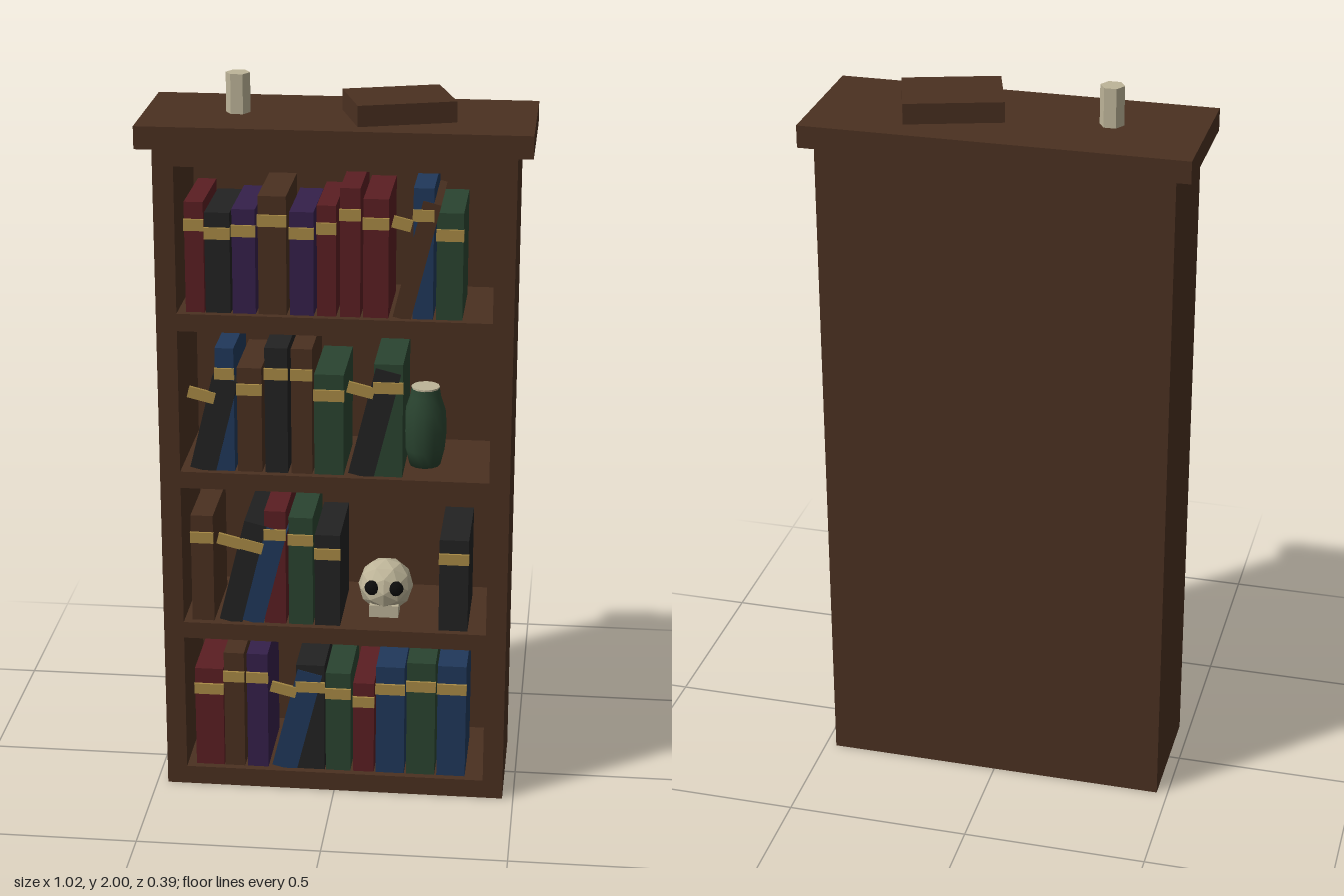
import * as THREE from 'three';

const material = (name, color, extra = {}) => {
  const m = new THREE.MeshStandardMaterial({ color, ...extra });
  m.name = name;
  return m;
};

export function createModel() {
  const model = new THREE.Group();
  model.name = 'bookcase';

  const wood = material('brown wood', 0x4a3020);
  const red = material('red leather', 0x5a1e22);
  const black = material('black leather', 0x222222);
  const purple = material('purple leather', 0x35204a);
  const green = material('green', 0x2a4430);
  const blue = material('blue leather', 0x20385a);
  const gold = material('gold', 0xa88a45);
  const bone = material('bone', 0xbdb498, { flatShading: true });
  const dark = material('socket black', 0x0c0c0c);

  const add = (name, geometry, mat, x = 0, y = 0, z = 0, parent = model) => {
    const mesh = new THREE.Mesh(geometry, mat);
    mesh.name = name;
    mesh.position.set(x, y, z);
    parent.add(mesh);
    return mesh;
  };
  const box = (w, h, d) => new THREE.BoxGeometry(w, h, d);

  // Case: a frame pierced by four compartments, closed by a back panel
  const floors = [0.053, 0.497, 0.941, 1.386];
  const rect = (target, x, y0, y1) => {
    target.moveTo(-x, y0);
    target.lineTo(x, y0);
    target.lineTo(x, y1);
    target.lineTo(-x, y1);
    target.closePath();
    return target;
  };
  const frame = rect(new THREE.Shape(), 0.47, 0, 1.835);
  for (const y of floors) frame.holes.push(rect(new THREE.Path(), 0.415, y, y + 0.397));
  add('caseFrame', new THREE.ExtrudeGeometry(frame, { depth: 0.32, bevelEnabled: false }), wood, 0, 0, -0.16);
  add('backPanel', box(0.94, 1.835, 0.02), wood, 0, 0.9175, -0.17);
  add('topSlab', box(1.02, 0.06, 0.39), wood, 0, 1.865, 0);

  // Books per shelf, bottom to top: centre x, width, height, cover, lean
  const L = 0.24;
  const shelves = [
    [[-0.351, 0.079, 0.296, red], [-0.281, 0.056, 0.347, wood], [-0.216, 0.058, 0.347, purple],
      [-0.142, 0.07, 0.307, blue, L], [-0.068, 0.079, 0.32, black], [0.009, 0.069, 0.299, green],
      [0.08, 0.058, 0.272, red], [0.154, 0.079, 0.325, blue], [0.239, 0.079, 0.341, green],
      [0.324, 0.079, 0.336, blue]],
    [[-0.363, 0.061, 0.31, wood], [-0.287, 0.063, 0.302, black, L], [-0.226, 0.058, 0.286, blue, L],
      [-0.163, 0.058, 0.331, red], [-0.093, 0.066, 0.315, green], [-0.02, 0.069, 0.267, black],
      [0.324, 0.079, 0.267, black]],
    [[-0.356, 0.07, 0.27, black, L], [-0.294, 0.05, 0.347, blue], [-0.228, 0.066, 0.294, wood],
      [-0.156, 0.061, 0.352, black], [-0.088, 0.056, 0.352, wood], [-0.015, 0.079, 0.283, green],
      [0.07, 0.069, 0.307, black, L], [0.143, 0.077, 0.317, green]],
    [[-0.368, 0.05, 0.299, red], [-0.307, 0.066, 0.272, black], [-0.238, 0.061, 0.283, purple],
      [-0.163, 0.074, 0.32, wood], [-0.086, 0.063, 0.28, purple], [-0.021, 0.05, 0.299, red],
      [0.041, 0.053, 0.347, red], [0.108, 0.066, 0.32, red], [0.176, 0.048, 0.323, wood, L],
      [0.231, 0.053, 0.352, blue], [0.3, 0.069, 0.288, green]],
  ];
  shelves.forEach((books, i) => {
    const row = new THREE.Group();
    row.name = `bookRow${i + 1}`;
    row.position.y = floors[i];
    model.add(row);
    for (const [x, w, h, cover, lean = 0] of books) {
      const front = lean ? 0.142 : 0.14;
      const cx = x + Math.sin(lean) * h / 2;
      const book = add('book', box(w, h, 0.24), cover, cx, Math.cos(lean) * h / 2, front - 0.12, row);
      // The spine band stays above the foot of the book
      const band = add('spineBand', box(w + 0.003, 0.031, 0.009), gold, x, h * 0.797, 0.1425, row);
      book.rotation.z = band.rotation.z = -lean;
    }
  });

  // Vase with a pale mouth
  const profile = [[0, 0], [0.042, 0], [0.053, 0.045], [0.058, 0.1], [0.055, 0.155], [0.042, 0.195], [0.038, 0.218]]
    .map(([x, y]) => new THREE.Vector2(x, y));
  add('vase', new THREE.LatheGeometry(profile, 12), green, 0.234, floors[2], 0.03);
  add('vaseMouth', new THREE.CylinderGeometry(0.038, 0.038, 0.006, 12), bone, 0.234, floors[2] + 0.22, 0.03);

  // Skull with sockets and jaw
  const skull = new THREE.Group();
  skull.name = 'skull';
  skull.position.set(0.13, 0.577, 0.025);
  model.add(skull);
  add('cranium', new THREE.IcosahedronGeometry(0.076, 1), bone, 0, 0, 0, skull);
  add('jaw', box(0.08, 0.035, 0.06), bone, 0, -0.055, 0.034, skull);
  for (const s of [-1, 1]) {
    add('eyeSocket', new THREE.SphereGeometry(0.021, 8, 6), dark, s * 0.033, 0.014, 0.06, skull);
  }

  // Things lying on top: a candle stub and a turned book
  add('candle', new THREE.CylinderGeometry(0.032, 0.032, 0.105, 6), bone, -0.265, 1.9475, 0.01).rotation.y = Math.PI / 6;
  add('topBook', box(0.26, 0.055, 0.2), wood, 0.155, 1.9225, 0.012).rotation.y = 0.3;

  return model;
}
